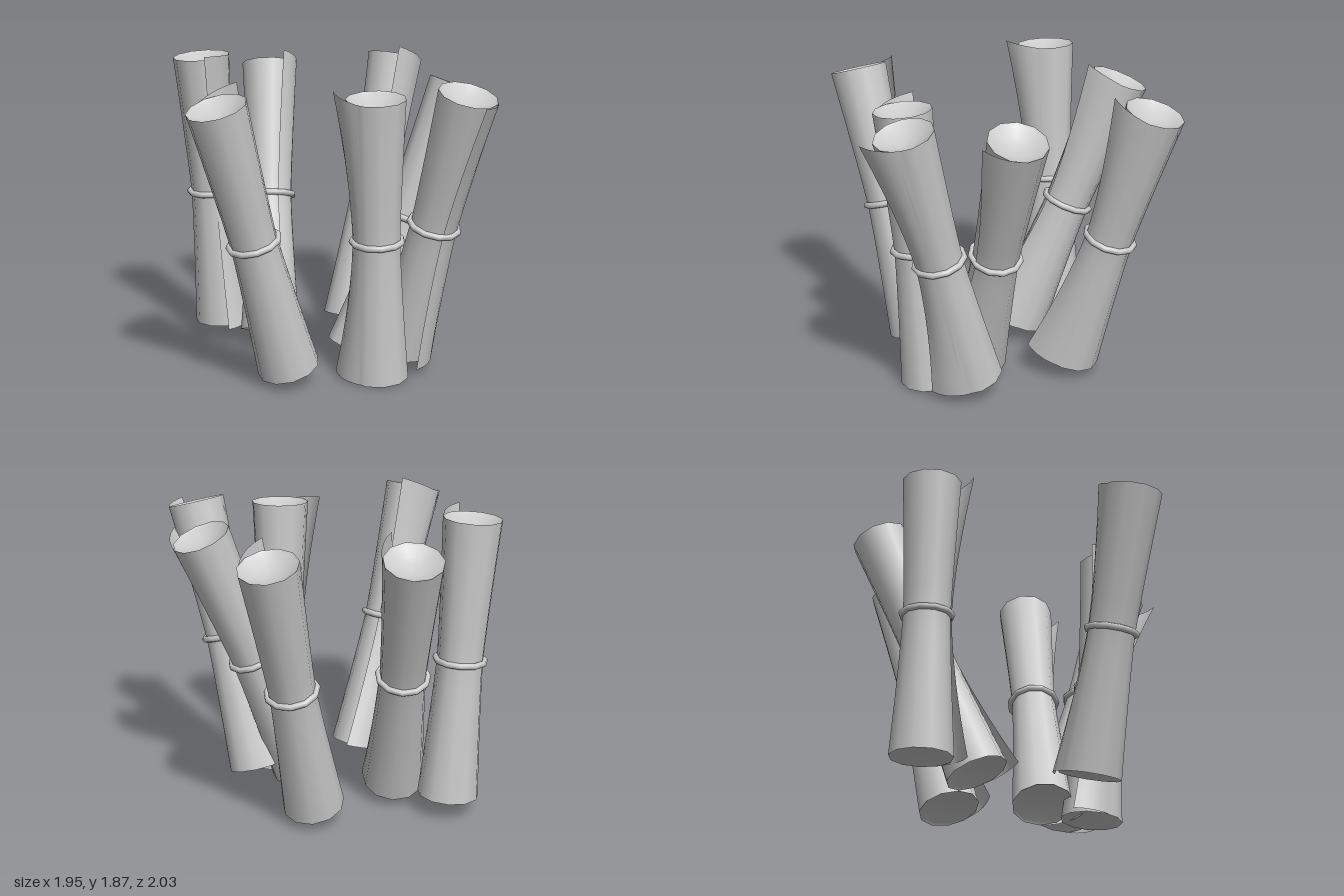
import * as THREE from 'three';

const SIDES = 11;
const END_TOP = 0.178, END_BOTTOM = 0.188, WAIST = 0.14;

// Sheet radius along the roll, v = -1 (bottom) .. 1 (top)
const rollRadius = v => WAIST + ((v > 0 ? END_TOP : END_BOTTOM) - WAIST) * Math.pow(Math.abs(v), 1.25);

const material = new THREE.MeshStandardMaterial({ color: 0xcccccc });
const sheetMaterial = new THREE.MeshStandardMaterial({ color: 0xcccccc, side: THREE.DoubleSide });

function lathe(points) {
  return new THREE.LatheGeometry(points.map(p => new THREE.Vector2(p[0], p[1])), SIDES, Math.PI / 2);
}

function part(name, geometry, mat = material) {
  const mesh = new THREE.Mesh(geometry, mat);
  mesh.name = name;
  return mesh;
}

// Loose outer edge of the sheet: lies on the roll at the waist, peels away at both ends
function looseEdge(half, edgeAngle) {
  const cols = 5, rows = 16, span = 1.15;
  const geometry = new THREE.PlaneGeometry(1, 1, cols, rows);
  const pos = geometry.attributes.position;
  for (let i = 0; i < pos.count; i++) {
    const u = pos.getX(i) + 0.5;
    const v = pos.getY(i) * 2;
    const a = edgeAngle - span * (1 - u);
    const r = rollRadius(v) - 0.004 + 0.01 * u + 0.07 * Math.pow(u, 1.5) * Math.pow(Math.abs(v), 1.8);
    const lift = v > 0 ? 0.035 * u * v ** 4 : 0;
    pos.setXYZ(i, r * Math.cos(a), v * half + lift, r * Math.sin(a));
  }
  geometry.computeVertexNormals();
  return geometry;
}

// One rolled scroll from its bottom centre to its top centre
function createScroll(bottom, top, edgeDegrees) {
  const a = new THREE.Vector3(...bottom), b = new THREE.Vector3(...top);
  const axis = b.clone().sub(a);
  const half = axis.length() / 2;
  const scroll = new THREE.Group();
  scroll.name = 'scroll';

  // Rolled sheet, narrowest where it is tied
  const profile = [];
  for (let i = 0; i <= 12; i++) {
    const v = -1 + i / 6;
    profile.push([rollRadius(v), v * half]);
  }
  scroll.add(part('rolledSheet', lathe(profile)));

  // Dished ends
  const dish = (r, s) => [[r, s * half], [r * 0.93, s * (half - 0.012)], [r * 0.6, s * (half - 0.045)],
    [r * 0.3, s * (half - 0.062)], [0, s * (half - 0.068)]];
  scroll.add(part('topEnd', lathe(dish(END_TOP, 1))));
  scroll.add(part('bottomEnd', lathe(dish(END_BOTTOM, -1).reverse())));

  scroll.add(part('looseEdge', looseEdge(half, THREE.MathUtils.degToRad(edgeDegrees)), sheetMaterial));

  // Tie around the waist
  const tie = new THREE.TorusGeometry(WAIST + 0.008, 0.02, 8, SIDES);
  tie.rotateX(Math.PI / 2);
  scroll.add(part('tie', tie));

  scroll.position.copy(a).add(b).multiplyScalar(0.5);
  scroll.quaternion.setFromUnitVectors(new THREE.Vector3(0, 1, 0), axis.normalize());
  return scroll;
}

export function createModel() {
  const model = new THREE.Group();
  model.name = 'scrollBundle';
  // bottom centre, top centre, direction of the loose edge in degrees
  const scrolls = [
    [[-0.50, 0.13, -0.56], [-0.63, 1.86, -0.54], 98],
    [[-0.28, 0.13, -0.23], [-0.11, 1.74, -0.84], 84],
    [[0.31, 0.12, -0.36], [0.71, 1.77, -0.71], 106],
    [[0.16, 0.11, 0.20], [0.81, 1.72, 0.16], 72],
    [[-0.34, 0.11, 0.42], [-0.81, 1.76, 0.65], -45],
    [[0.20, 0.03, 0.50], [0.13, 1.755, 0.63], 211],
    [[0.42, 0.13, 0.31], [0.64, 1.775, 0.77], 88],
  ];
  for (const [bottom, top, edge] of scrolls) model.add(createScroll(bottom, top, edge));
  return model;
}
